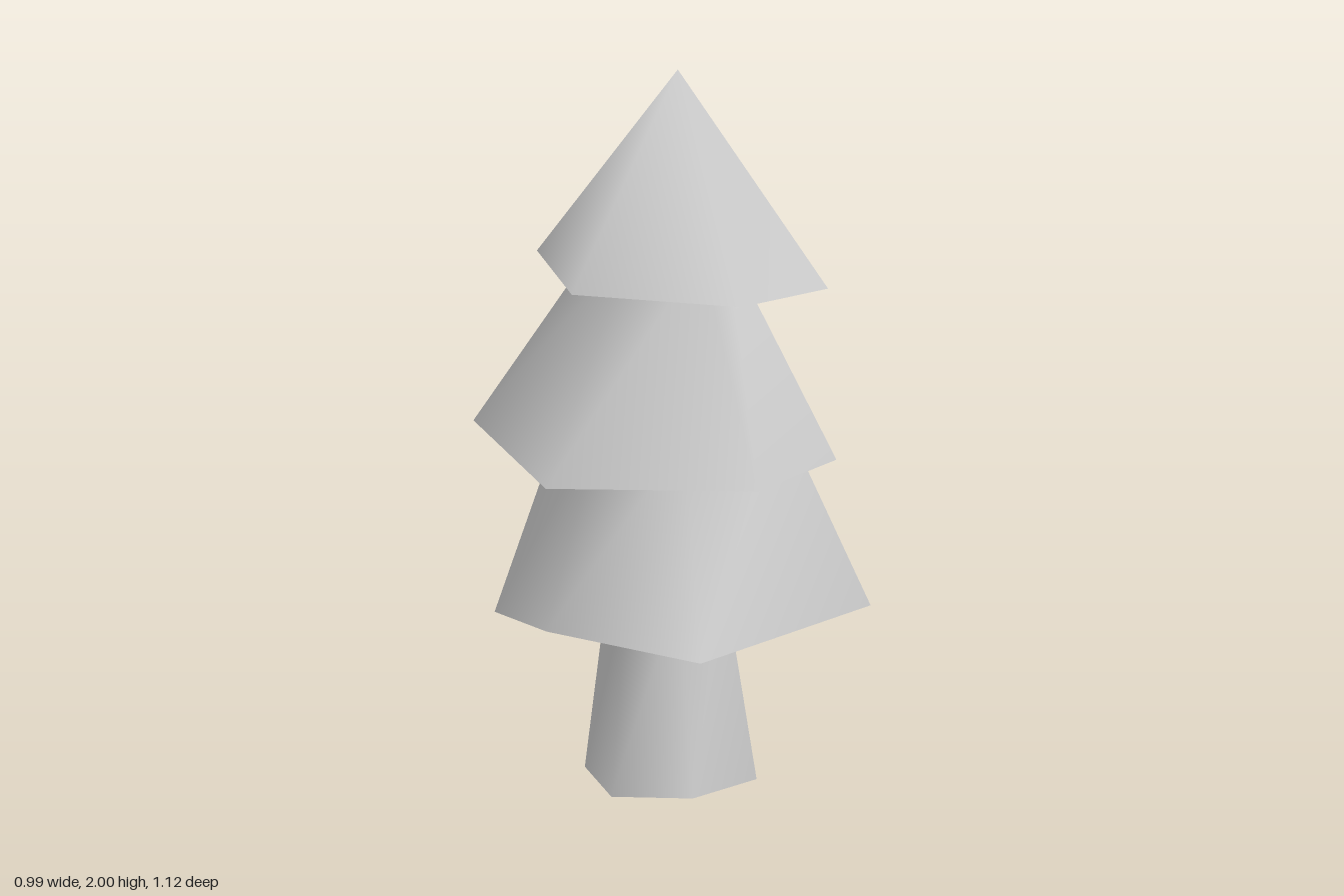
import * as THREE from 'three';
import { mergeVertices } from 'three/addons/utils/BufferGeometryUtils.js';

// Smooth open shell from an uneven rim [x, y, z] up to a smaller, flat copy of it.
// top = { y, scale, x, z }; scale 0 closes the shell to a point.
function shellGeometry(rim, top) {
  const upper = rim.map(([x, , z]) => [top.x + x * top.scale, top.y, top.z + z * top.scale]);
  const positions = [];
  rim.forEach((a, i) => {
    const j = (i + 1) % rim.length;
    const b = rim[j], c = upper[i], d = upper[j];
    positions.push(...b, ...a, ...c);
    if (top.scale > 0) positions.push(...b, ...c, ...d);
  });
  const geometry = new THREE.BufferGeometry();
  geometry.setAttribute('position', new THREE.Float32BufferAttribute(positions, 3));
  const merged = mergeVertices(geometry);
  merged.computeVertexNormals();
  return merged;
}

export function createModel() {
  const group = new THREE.Group();
  group.name = 'tree';

  const grey = new THREE.MeshStandardMaterial({ color: 0xcccccc, side: THREE.DoubleSide });
  grey.name = 'lightGrey';

  // Each part: rim corners from the back, round by +x to the front
  const parts = {
    trunk: {
      rim: [[-0.05, 0, -0.27], [0.18, 0, -0.14], [0.2, 0, 0.1],
        [-0.01, 0, 0.22], [-0.22, 0, 0.15], [-0.225, 0, -0.12]],
      top: { y: 0.57, scale: 0.66, x: -0.01, z: -0.025 },
    },
    lowerBranches: {
      rim: [[-0.07, 0.48, -0.565], [0.305, 0.44, -0.335], [0.49, 0.51, 0.215],
        [-0.075, 0.5, 0.56], [-0.43, 0.525, 0.26], [-0.46, 0.44, -0.19]],
      top: { y: 1.05, scale: 0.56, x: -0.01, z: -0.02 },
    },
    middleBranches: {
      rim: [[-0.02, 0.975, -0.55], [0.42, 0.945, -0.2], [0.375, 0.96, 0.29],
        [0.11, 0.945, 0.46], [-0.43, 0.93, 0.25], [-0.495, 0.96, -0.285]],
      top: { y: 1.52, scale: 0.34, x: 0, z: -0.03 },
    },
    topBranches: {
      rim: [[0, 1.455, -0.41], [0.36, 1.43, -0.14], [0.39, 1.4, 0.14],
        [0.095, 1.435, 0.34], [-0.335, 1.45, 0.165], [-0.335, 1.455, -0.215]],
      top: { y: 2, scale: 0, x: 0.015, z: -0.04 },
    },
  };

  for (const [name, { rim, top }] of Object.entries(parts)) {
    const mesh = new THREE.Mesh(shellGeometry(rim, top), grey);
    mesh.name = name;
    group.add(mesh);
  }
  return group;
}
